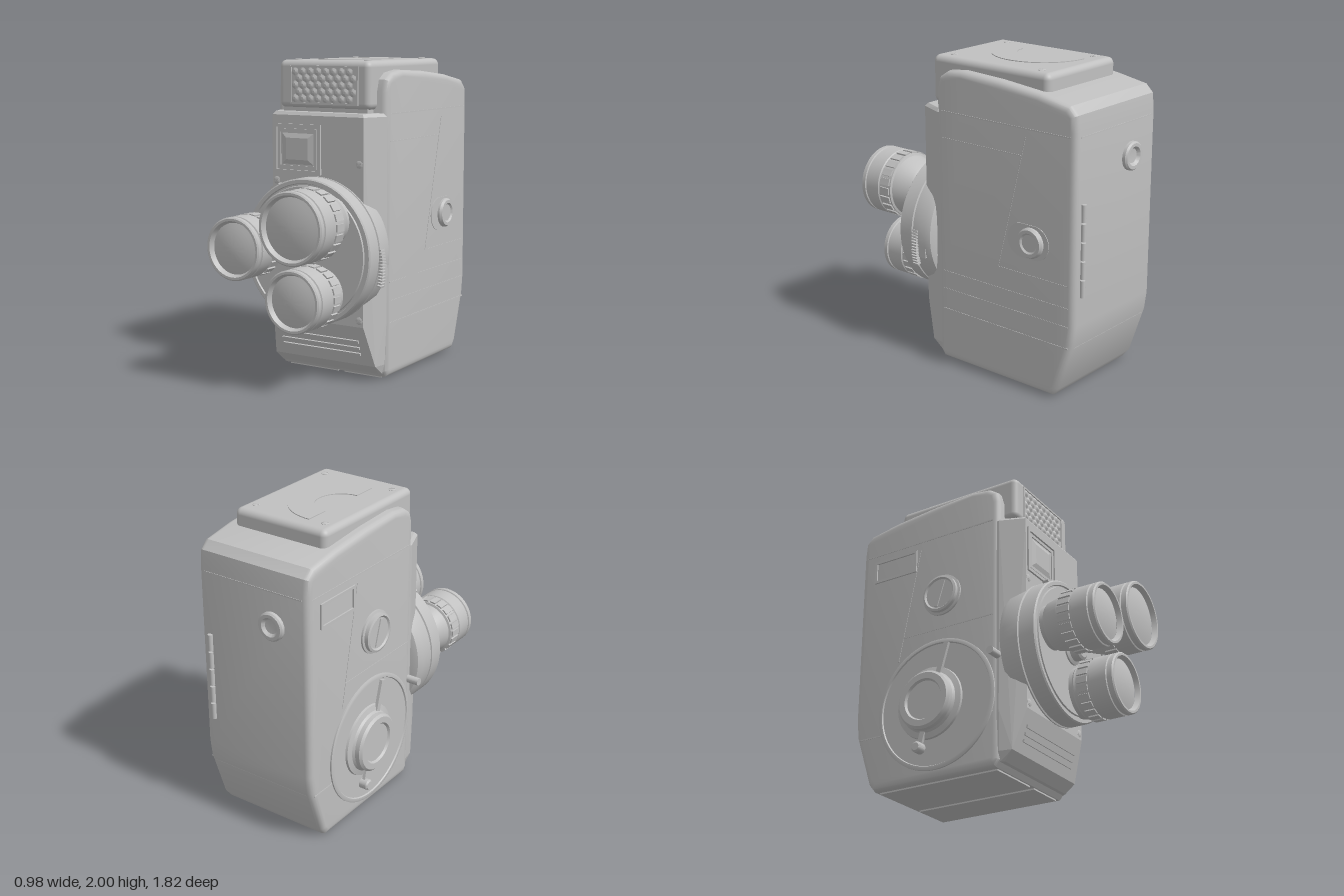
import * as THREE from 'three';
import { toCreasedNormals } from 'three/addons/utils/BufferGeometryUtils.js';
import { RoundedBoxGeometry } from 'three/addons/geometries/RoundedBoxGeometry.js';
import { ConvexGeometry } from 'three/addons/geometries/ConvexGeometry.js';

const HALF = Math.PI / 2;
const metal = new THREE.MeshStandardMaterial({ color: 0xc0c0c0 });
metal.name = 'grey metal';

export function createModel() {
  const root = new THREE.Group();
  root.name = 'cineCamera';

  const add = (name, geo, x = 0, y = 0, z = 0, parent = root) => {
    const mesh = new THREE.Mesh(geo, metal);
    mesh.name = name;
    mesh.position.set(x, y, z);
    parent.add(mesh);
    return mesh;
  };
  const box = (w, h, d) => new THREE.BoxGeometry(w, h, d);
  const shapeOf = (pts) => new THREE.Shape(pts.map(([a, b]) => new THREE.Vector2(a, b)));

  // Turned part: points are [radius, distance along the facing axis]
  const turned = (pts, facing = 'front', sides = 48) => {
    const g = toCreasedNormals(
      new THREE.LatheGeometry(pts.map(([r, t]) => new THREE.Vector2(r, t)), sides), 0.5);
    if (facing === 'front') g.rotateX(HALF);
    if (facing === 'back') g.rotateX(-HALF);
    if (facing === 'left') g.rotateZ(-HALF);
    if (facing === 'right') g.rotateZ(HALF);
    return g;
  };
  const rectFrame = (w, h, rim, depth) => {
    const rect = (a, b) => [[-a, -b], [a, -b], [a, b], [-a, b]];
    const s = shapeOf(rect(w / 2, h / 2));
    s.holes.push(shapeOf(rect(w / 2 - rim, h / 2 - rim)));
    return new THREE.ExtrudeGeometry(s, { depth, bevelEnabled: false });
  };
  const screw = (x, y, z, facing) => {
    const g = new THREE.Group();
    g.name = 'screw';
    g.position.set(x, y, z);
    add('screwHead', turned([[0.024, -0.01], [0.024, 0.003], [0.018, 0.006], [0, 0.006]], 'front', 16), 0, 0, 0, g);
    add('screwSlot', box(0.036, 0.007, 0.004), 0, 0, 0.006, g).rotation.z = 0.5;
    if (facing === 'up') g.rotation.x = -HALF;
    root.add(g);
  };

  // Main housing: side outline in (z, y), extruded across the width
  const bevel = 0.04, width = 0.81;
  const outline = shapeOf([
    [0.17, 0.01], [-0.72, 0.01], [-0.76, 0.06], [-0.865, 0.38], [-0.88, 0.5], [-0.88, 1.7],
    [-0.87, 1.8], [-0.82, 1.85], [-0.6, 1.89], [-0.3, 1.92], [0, 1.935], [0.12, 1.92],
    [0.18, 1.88], [0.2, 1.81], [0.2, 0.05]]);
  const body = new THREE.ExtrudeGeometry(outline, {
    depth: width - 2 * bevel, bevelSize: bevel, bevelThickness: bevel, bevelOffset: -bevel, bevelSegments: 4 });
  body.translate(0, 0, bevel - width / 2).rotateY(-HALF);
  add('housing', toCreasedNormals(body, 0.55), 0.005);

  // Front block with chamfered sides and a sloping foot
  const hull = [];
  for (const [y, wide, narrow, front] of [
    [0.04, 0.375, 0.36, 0.22], [0.1, 0.39, 0.375, 0.28], [0.36, 0.397, 0.335, 0.36],
    [1.655, 0.397, 0.335, 0.36], [1.675, 0.38, 0.32, 0.345]])
    for (const s of [-1, 1])
      hull.push(new THREE.Vector3(s * wide, y, 0.1), new THREE.Vector3(s * wide, y, 0.2),
        new THREE.Vector3(s * narrow, y, front));
  add('frontBlock', new ConvexGeometry(hull), 0.005);

  // Seams round the housing
  for (const [y, back] of [[1.67, -0.88], [0.36, -0.855]]) {
    for (const x of [-0.4, 0.41]) add('sideSeam', box(0.006, 0.008, 1), x, y, -0.34);
    add('backSeam', box(0.72, 0.008, 0.006), 0.005, y, back);
  }
  // Base plates with a gap between them
  add('basePlate', box(0.37, 0.02, 0.86), -0.155, 0.01, -0.27);
  add('basePlate', box(0.27, 0.02, 0.86), 0.215, 0.01, -0.27);

  // Light meter hood on top
  add('topHood', new RoundedBoxGeometry(0.67, 0.3, 0.91, 4, 0.04), 0.005, 1.844, -0.165);
  add('hoodSkirt', box(0.62, 0.06, 0.87), 0.005, 1.7, -0.165);
  const arch = new THREE.Shape();
  arch.absarc(0, 0, 0.32, -HALF, HALF, false);
  arch.absarc(0, 0, 0.16, HALF, -HALF, true);
  const archGeo = new THREE.ExtrudeGeometry(arch, { depth: 0.006, bevelEnabled: false, curveSegments: 32 });
  add('archPlate', toCreasedNormals(archGeo.rotateX(-HALF), 0.5), -0.14, 1.993, -0.2);
  for (const x of [-0.25, 0.26]) for (const z of [-0.51, 0.18]) screw(x, 1.993, z, 'up');

  // Honeycomb light cell window
  add('cellFrame', rectFrame(0.5, 0.24, 0.012, 0.012), 0.01, 1.84, 0.285);
  for (let row = 0; row < 5; row++)
    for (let col = 0; col < 8; col++) {
      const g = new THREE.CylinderGeometry(0.01, 0.035, 0.014, 6).rotateX(HALF);
      add('cellBump', g, -0.205 + col * 0.057 + (row % 2) * 0.028, 1.756 + row * 0.042, 0.293);
    }

  // Viewfinder window: nested frames and a raised pane
  add('finderFrame', rectFrame(0.35, 0.31, 0.022, 0.014), -0.14, 1.445, 0.358);
  add('finderInnerFrame', rectFrame(0.29, 0.25, 0.02, 0.009), -0.14, 1.445, 0.358);
  const pane = new THREE.CylinderGeometry(0.48, Math.SQRT1_2, 1, 4).rotateY(Math.PI / 4).toNonIndexed();
  pane.computeVertexNormals();
  pane.rotateX(HALF).scale(0.24, 0.2, 0.012);
  add('finderPane', pane, -0.14, 1.445, 0.365);

  // Front screws and grille bars on the sloping foot
  for (const [x, y] of [[0.31, 1.37], [0.31, 0.4], [-0.3, 0.4], [-0.3, 1.24]]) screw(x, y, 0.358);
  for (const y of [0.175, 0.215, 0.26])
    add('grilleBar', box(0.58, 0.018, 0.02), 0, y, 0.282 + (y - 0.1) * 0.3).rotation.x = 0.3;

  // Lens turret
  add('turret', turned([[0, 0.22], [0.41, 0.22], [0.445, 0.235], [0.46, 0.27], [0.46, 0.368], [0.45, 0.372],
    [0.45, 0.38], [0.46, 0.384], [0.46, 0.482], [0.452, 0.49], [0.43, 0.49], [0.426, 0.48], [0.416, 0.48],
    [0.412, 0.49], [0, 0.49]], 'front', 72), 0.005, 0.82);
  add('turretHub', turned([[0.09, 0.48], [0.09, 0.5], [0.07, 0.51], [0.07, 0.56], [0.055, 0.57], [0, 0.57]]), 0, 0.82);
  add('turretStop', box(0.07, 0.03, 0.04), -0.23, 1.21, 0.46).rotation.z = 0.45;

  // Three lenses: radius r, front face at z = f, neck radius, knurl band from k0 to k1
  for (const [x, y, r, f, neck, k0, k1] of [
    [0.17, 1.035, 0.222, 0.91, 0.15, 0.66, 0.74],
    [-0.26, 0.875, 0.194, 0.89, 0.14, 0.64, 0.72],
    [0.11, 0.575, 0.195, 0.81, 0.165, 0.56, 0.63]]) {
    const lens = new THREE.Group();
    lens.name = 'lens';
    lens.position.set(x, y, 0);
    root.add(lens);
    add('barrel', turned([[neck, 0.47], [neck, 0.515], [neck + 0.012, 0.53], [r - 0.022, k0 - 0.015],
      [r - 0.008, k0 - 0.01], [r - 0.008, k1 + 0.01], [r, k1 + 0.016], [r, f - 0.05], [r - 0.008, f - 0.046],
      [r - 0.008, f - 0.038], [r, f - 0.034], [r, f - 0.008], [r - 0.008, f], [r - 0.022, f],
      [r - 0.036, f - 0.03]]), 0, 0, 0, lens);
    const dome = [0, 1, 2, 3, 4, 5].map((i) => {
      const t = (1 - i / 5) * 0.95;
      return [(r - 0.034) * t / 0.95, f - 0.005 - 0.03 * t * t];
    });
    add('glass', turned(dome), 0, 0, 0, lens);
    const teeth = 22;
    for (let i = 0; i < teeth; i++) {
      const a = (i / teeth) * Math.PI * 2;
      add('gripTooth', box(0.016, r * 0.2, k1 - k0), Math.cos(a) * (r - 0.007), Math.sin(a) * (r - 0.007),
        (k0 + k1) / 2, lens).rotation.z = a;
    }
  }

  // Knurled turret thumb tab and catch
  for (let i = -6; i <= 6; i++) {
    const a = i * 0.04;
    add('thumbRidge', box(0.03, 0.011, 0.045), 0.005 + Math.cos(a) * 0.465, 0.745 + Math.sin(a) * 0.465, 0.35).rotation.z = a;
  }
  add('thumbCatch', box(0.06, 0.11, 0.06), 0.43, 0.74, 0.3);
  add('releasePin', turned([[0.025, 0], [0.025, 0.1], [0, 0.1]], 'right', 20), -0.38, 0.72, 0.19);

  // Door latch on the model's left
  const slot = new THREE.Shape();
  slot.absarc(0.05, 0, 0.108, -HALF, HALF, false);
  slot.absarc(-0.05, 0, 0.108, HALF, 3 * HALF, false);
  const slotGeo = new THREE.ExtrudeGeometry(slot, { depth: 0.006, bevelEnabled: false, curveSegments: 20 });
  add('latchPlate', toCreasedNormals(slotGeo.rotateY(HALF), 0.5), 0.408, 0.975, -0.535);
  add('latchKnob', turned([[0.095, 0], [0.095, 0.02], [0.085, 0.035], [0.065, 0.035], [0.055, 0.025], [0, 0.025]], 'left'),
    0.408, 0.975, -0.56);

  // Raised trim lines on the side panels: from (z, y) to (z, y)
  const trim = (x, z0, y0, z1, y1, w = 0.006) => {
    const m = add('trimLine', box(0.005, w, Math.hypot(z1 - z0, y1 - y0)), x, (y0 + y1) / 2, (z0 + z1) / 2);
    m.rotation.x = -Math.atan2(y1 - y0, z1 - z0);
  };
  trim(0.41, 0.16, 1.5, -0.48, 1.5);
  trim(0.41, -0.51, 1.62, -0.3, 0.76);
  trim(0.41, -0.3, 0.76, -0.84, 0.76);
  trim(0.41, 0.16, 0.62, -0.84, 0.62);
  trim(0.41, 0.16, 0.5, -0.84, 0.5);
  trim(-0.4, -0.4, 1.62, -0.55, 0.84);
  trim(-0.4, 0.16, 1.0, -0.52, 1.0);

  // Film counter window on the model's right
  add('counterFrame', rectFrame(0.34, 0.16, 0.018, 0.012).rotateY(-HALF), -0.398, 1.54, -0.6);

  // Winding dial, knob and folding crank
  add('dialRing', turned([[0.43, 0], [0.43, 0.01], [0.42, 0.014], [0.405, 0.014], [0.4, 0.006], [0, 0.006]], 'right', 64),
    -0.4, 0.49, -0.25);
  add('windingKnob', turned([[0.24, 0], [0.235, 0.02], [0.2, 0.03], [0.19, 0.045], [0.19, 0.075], [0.175, 0.09],
    [0.135, 0.09], [0.125, 0.075], [0, 0.075]], 'right'), -0.4, 0.5, -0.29);
  const crank = add('crank', box(0.02, 0.72, 0.035), -0.428, 0.53, -0.26);
  crank.rotation.x = 0.28;
  add('crankGrip', turned([[0.035, 0], [0.035, 0.05], [0.025, 0.06], [0, 0.06]], 'right', 24), -0.41, 0.21, -0.35);

  // Speed selector
  add('speedKnob', turned([[0.14, 0], [0.14, 0.012], [0.125, 0.016], [0.125, 0.04], [0.11, 0.045], [0.1, 0.035],
    [0, 0.035]], 'right'), -0.4, 1.23, -0.22);
  add('speedPointer', box(0.012, 0.18, 0.03), -0.437, 1.23, -0.22).rotation.x = 0.3;

  // Eyepiece and hinge on the back
  add('eyepiece', turned([[0.09, 0], [0.09, 0.02], [0.08, 0.03], [0.06, 0.03], [0.045, 0.012], [0, 0.008]], 'back'),
    -0.14, 1.455, -0.88);
  for (let i = 0; i < 5; i++)
    add('hingeKnuckle', new THREE.CylinderGeometry(0.016, 0.016, 0.108, 16), 0.335, 0.74 + i * 0.118, -0.89);

  return root;
}
